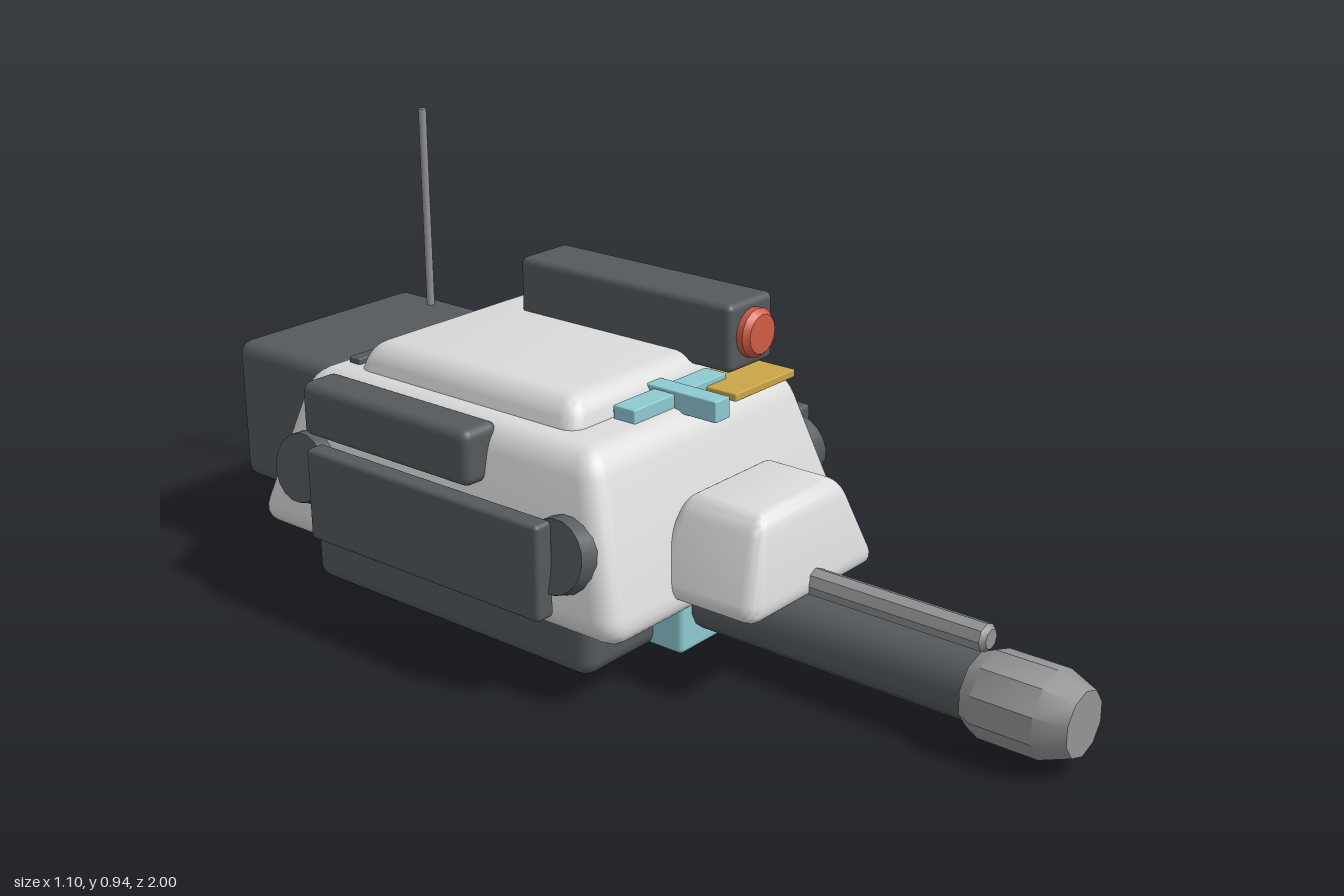
import * as THREE from 'three';
import { toCreasedNormals } from 'three/addons/utils/BufferGeometryUtils.js';
import { RoundedBoxGeometry } from 'three/addons/geometries/RoundedBoxGeometry.js';

const paint = (name, color) => {
  const m = new THREE.MeshStandardMaterial({ color });
  m.name = name;
  return m;
};

// Rounded box given by its min/max on each axis, narrowing towards the top by tx, tz
function slab([x0, x1], [y0, y1], [z0, z1], r, tx = 1, tz = 1) {
  const w = x1 - x0, h = y1 - y0, d = z1 - z0;
  let g = new RoundedBoxGeometry(w, h, d, 3, r);
  if (tx !== 1 || tz !== 1) {
    const p = g.attributes.position;
    for (let i = 0; i < p.count; i++) {
      const t = p.getY(i) / h + 0.5;
      p.setX(i, p.getX(i) * (1 + (tx - 1) * t));
      p.setZ(i, p.getZ(i) * (1 + (tz - 1) * t));
    }
    g = toCreasedNormals(g, 0.75);
  }
  return g.translate((x0 + x1) / 2, (y0 + y1) / 2, (z0 + z1) / 2);
}

// Turned part along z from [radius, z] pairs, running from back to front
function turned(points, sides, x, y) {
  const pts = points.map(([r, z]) => new THREE.Vector2(r, z));
  const g = new THREE.LatheGeometry(pts, sides).rotateX(Math.PI / 2);
  return toCreasedNormals(g, 0.6).translate(x, y, 0);
}

export function createModel() {
  const white = paint('hull white', 0xdadada);
  const dark = paint('dark grey', 0x555a5d);
  const steel = paint('steel grey', 0x949597);
  const cyan = paint('pale cyan', 0x8ecad2);
  const gold = paint('gold', 0xcaa546);
  const red = paint('lens red', 0xd25c47);

  const model = new THREE.Group();
  model.name = 'turret';
  const add = (name, geometry, material, parent = model) => {
    const mesh = new THREE.Mesh(geometry, material);
    mesh.name = name;
    parent.add(mesh);
    return mesh;
  };
  const cx = -0.115;

  // Base and hull
  add('base', slab([-0.415, 0.185], [0.005, 0.19], [-0.73, 0.07], 0.035), dark);
  add('frontBlock', slab([-0.215, -0.015], [0.01, 0.17], [0, 0.145], 0.012), cyan);
  add('hull', slab([-0.51, 0.28], [0.145, 0.505], [-0.82, 0.23], 0.055, 0.81, 0.76), white);
  add('roof', slab([-0.385, 0.155], [0.47, 0.565], [-0.62, 0.02], 0.04, 0.88, 0.9), white);
  add('rearBox', slab([-0.375, 0.14], [0.165, 0.485], [-1, -0.69], 0.03), dark);

  // Gun
  add('mantlet', slab([-0.33, 0.1], [0.185, 0.385], [0.13, 0.415], 0.04, 0.62, 0.68), white);
  add('barrel', turned([[0, 0.05], [0.068, 0.05], [0.068, 0.82], [0, 0.82]], 14, cx, 0.108), dark);
  add('muzzle', turned([[0, 0.78], [0.075, 0.78], [0.089, 0.81], [0.089, 0.94], [0.066, 1], [0, 1]],
    10, cx, 0.108), steel);
  add('upperRod', turned([[0, 0.3], [0.029, 0.3], [0.029, 0.79], [0.02, 0.8], [0, 0.8]],
    8, cx, 0.215), steel);

  // Side armour, mirrored about the hull centre
  for (const side of [-1, 1]) {
    const range = (a, b) => [cx + side * a, cx + side * b].sort((p, q) => p - q);
    const group = new THREE.Group();
    group.name = side > 0 ? 'leftArmour' : 'rightArmour';
    model.add(group);
    add('sidePanel', slab(range(0.39, 0.436), [0.185, 0.385], [-0.575, 0.07], 0.01), dark, group);
    add('panelMount', slab(range(0.3, 0.4), [0.22, 0.35], [-0.5, 0], 0.01), dark, group);
    add('upperBar', slab(range(0.295, 0.39), [0.387, 0.505], [-0.635, -0.155], 0.02), dark, group);
    for (const z of [-0.65, 0.07]) {
      const disc = add('sideDisc', new THREE.CylinderGeometry(0.074, 0.084, 0.07, 18), dark, group);
      disc.rotation.z = -side * (Math.PI / 2 - 0.2);
      disc.position.set(cx + side * 0.358, 0.303, z);
    }
  }

  // Roof fittings
  add('goldPlate', slab([-0.035, 0.165], [0.504, 0.521], [-0.66, 0.14], 0.003), gold);
  add('crossBar', slab([-0.26, 0.03], [0.493, 0.533], [0.01, 0.065], 0.003), cyan);
  add('crossStem', slab([-0.138, -0.092], [0.495, 0.54], [-0.01, 0.17], 0.003), cyan);
  add('slot', slab([-0.355, -0.195], [0.49, 0.518], [-0.648, -0.616], 0.004), dark);
  for (const x of [-0.375, 0.145]) for (const z of [-0.645, 0.065]) {
    add('bolt', new THREE.CylinderGeometry(0.012, 0.012, 0.02, 8).translate(x, 0.49, z), dark);
  }

  // Launcher pod with lens, and the antenna
  add('pod', slab([0.005, 0.15], [0.54, 0.685], [-0.488, 0.093], 0.015), dark);
  add('podFoot', slab([0.04, 0.115], [0.5, 0.56], [-0.4, -0.02], 0.005), dark);
  add('lens', turned([[0, 0.08], [0.053, 0.08], [0.053, 0.108], [0.042, 0.12], [0, 0.12]],
    16, 0.078, 0.615), red);
  add('antenna', new THREE.CylinderGeometry(0.009, 0.009, 0.48, 8).translate(0.086, 0.708, -0.857), steel);

  // Side arm: forked white plates with a dark core and knuckle
  const arm = new THREE.Group();
  arm.name = 'sideArm';
  model.add(arm);
  add('armRoot', slab([0.27, 0.33], [0.275, 0.375], [-0.345, -0.255], 0.008), white, arm);
  for (const z of [-0.345, -0.277]) {
    add('armPlate', slab([0.31, 0.485], [0.275, 0.375], [z, z + 0.022], 0.005), white, arm);
  }
  add('armCore', slab([0.32, 0.5], [0.285, 0.36], [-0.328, -0.272], 0.005), dark, arm);
  add('armMark', slab([0.325, 0.37], [0.35, 0.372], [-0.326, -0.274], 0.003), gold, arm);
  add('armCatch', slab([0.32, 0.36], [0.262, 0.285], [-0.325, -0.275], 0.004), dark, arm);
  add('knuckle', slab([0.475, 0.547], [0.275, 0.367], [-0.333, -0.267], 0.018), dark, arm);
  add('knucklePin', new THREE.CylinderGeometry(0.032, 0.032, 0.11, 10)
    .rotateX(Math.PI / 2).translate(0.495, 0.325, -0.3), dark, arm);

  return model;
}
